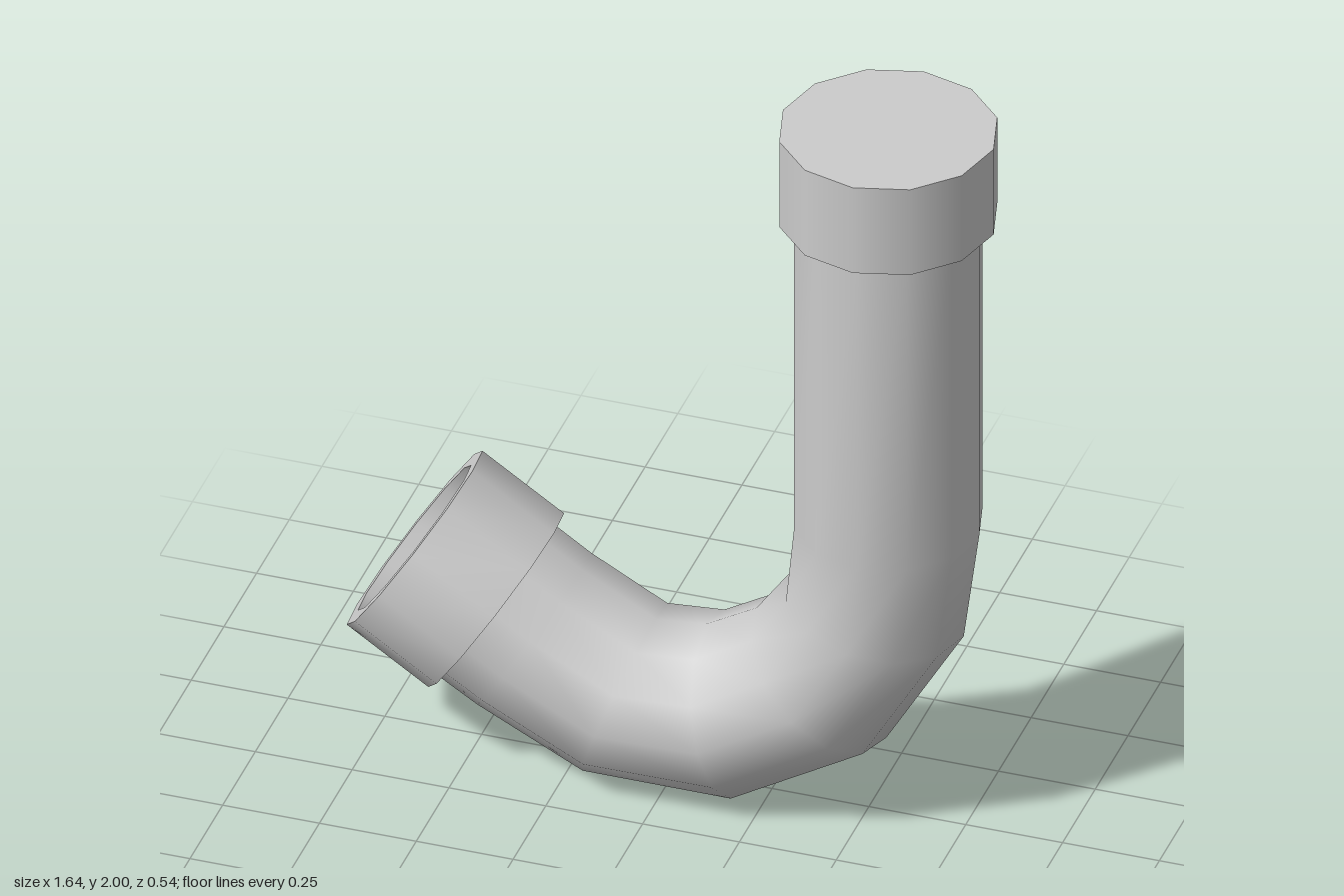
import * as THREE from 'three';
import { toCreasedNormals } from 'three/addons/utils/BufferGeometryUtils.js';

const SIDES = 12;
const PIPE_RADIUS = 0.235;
const COLLAR_RADIUS = 0.272;

// Pipe stations, each [outer x, outer y, inner x, inner y] across the bend
const STATIONS = [
  [0.785, 1.76, 0.315, 1.76],
  [0.785, 0.86, 0.315, 0.86],
  [0.745, 0.555, 0.295, 0.645],
  [0.545, 0.215, 0.21, 0.525],
  [0.19, 0.003, 0.08, 0.45],
  [-0.21, 0.005, -0.05, 0.437],
  [-0.49, 0.145, -0.24, 0.54],
  [-0.595, 0.21, -0.335, 0.603],
];

// Smooth mitred tube skinned through one ring per station
function pipeGeometry() {
  const positions = [];
  const index = [];
  STATIONS.forEach(([ox, oy, ix, iy], i) => {
    for (let j = 0; j < SIDES; j++) {
      const t = (j / SIDES) * Math.PI * 2;
      const c = Math.cos(t) / 2;
      positions.push(
        (ox + ix) / 2 + (ox - ix) * c,
        (oy + iy) / 2 + (oy - iy) * c,
        PIPE_RADIUS * Math.sin(t),
      );
      if (i === STATIONS.length - 1) continue;
      const k = (j + 1) % SIDES;
      const a = i * SIDES;
      const b = a + SIDES;
      index.push(a + j, a + k, b + k, a + j, b + k, b + j);
    }
  });
  const geometry = new THREE.BufferGeometry();
  geometry.setAttribute('position', new THREE.Float32BufferAttribute(positions, 3));
  geometry.setIndex(index);
  geometry.computeVertexNormals();
  return geometry;
}

export function createModel() {
  const group = new THREE.Group();
  group.name = 'bentPipe';
  const material = new THREE.MeshStandardMaterial({ color: 0xcccccc });
  const openMaterial = new THREE.MeshStandardMaterial({ color: 0xcccccc, side: THREE.DoubleSide });

  const add = (name, geometry, mat) => {
    const mesh = new THREE.Mesh(geometry, mat);
    mesh.name = name;
    group.add(mesh);
    return mesh;
  };

  add('pipe', pipeGeometry(), openMaterial);

  // Closed cap on the tall end
  const cap = add('topCap', new THREE.CylinderGeometry(COLLAR_RADIUS, COLLAR_RADIUS, 0.25, SIDES), material);
  cap.position.set(0.55, 1.875, 0);

  // Open collar on the short end: a hollow ring along the pipe's axis
  const length = 0.252;
  const bore = 0.227;
  const profile = [
    [bore, 0], [COLLAR_RADIUS, 0], [COLLAR_RADIUS, length], [bore, length], [bore, 0],
  ].map(([r, y]) => new THREE.Vector2(r, y));
  const collar = add('openCollar', toCreasedNormals(new THREE.LatheGeometry(profile, SIDES), 0.7), material);
  collar.position.set(-0.4625, 0.405, 0);
  collar.rotation.z = Math.atan2(0.21, 0.138);

  return group;
}
